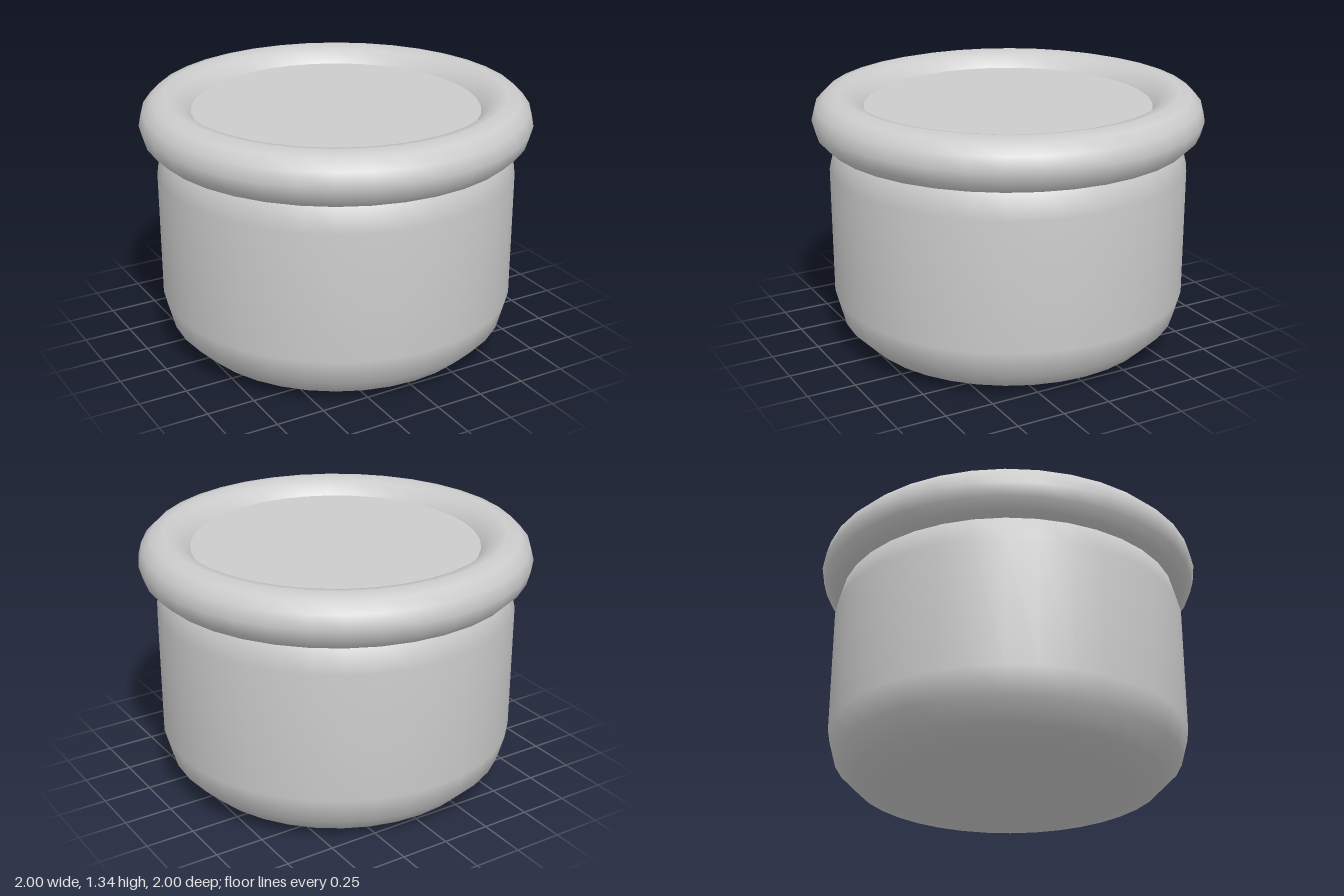
import * as THREE from 'three';

const SEGMENTS = 36;

// Points along an arc of a cross-section, angles in degrees
function arc(cx, cy, r, from, to, steps) {
  const points = [];
  for (let i = 0; i <= steps; i++) {
    const a = THREE.MathUtils.degToRad(from + ((to - from) * i) / steps);
    points.push(new THREE.Vector2(cx + r * Math.cos(a), cy + r * Math.sin(a)));
  }
  return points;
}

export function createModel() {
  const group = new THREE.Group();
  const grey = new THREE.MeshStandardMaterial({ color: 0xcccccc });
  grey.name = 'light grey';

  function add(name, geometry, y = 0) {
    const mesh = new THREE.Mesh(geometry, grey);
    mesh.name = name;
    mesh.position.y = y;
    group.add(mesh);
    return mesh;
  }

  // Pot wall with rounded lower and upper edges
  const wall = [
    ...arc(0.645, 0.275, 0.275, -90, 0, 3),
    ...arc(0.645, 0.94, 0.275, 0, 60, 2),
  ];
  add('body', new THREE.LatheGeometry(wall, SEGMENTS));

  // Flat underside
  add('base', new THREE.CircleGeometry(0.645, SEGMENTS).rotateX(Math.PI / 2));

  // Thick round rim, its inner lip ending at the lid
  const rim = [
    ...arc(0.865, 1.2, 0.135, 210, 510, 10),
    new THREE.Vector2(0.735, 1.25),
  ];
  add('rim', new THREE.LatheGeometry(rim, SEGMENTS));

  // Flat top set inside the rim
  add('lid', new THREE.CircleGeometry(0.738, SEGMENTS).rotateX(-Math.PI / 2), 1.252);

  return group;
}
